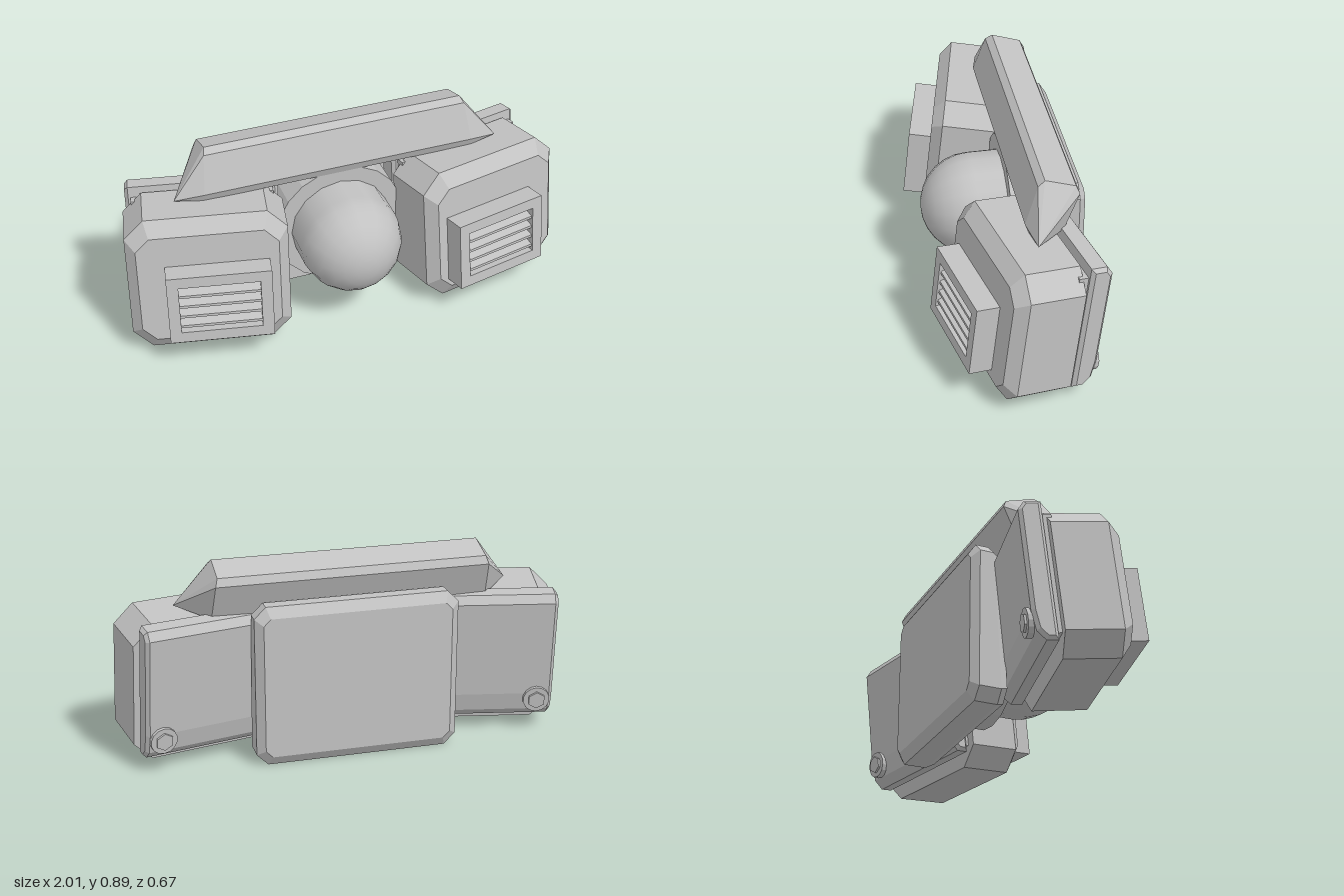
import * as THREE from 'three';
import { ConvexGeometry } from 'three/addons/geometries/ConvexGeometry.js';

const grey = new THREE.MeshStandardMaterial({ color: 0xc2c2c2 });
grey.name = 'light grey';

function add(parent, name, geometry, x = 0, y = 0, z = 0) {
  const mesh = new THREE.Mesh(geometry, grey);
  mesh.name = name;
  mesh.position.set(x, y, z);
  parent.add(mesh);
  return mesh;
}

// Faceted block from chamfered rectangles [halfWidth, halfHeight, chamfer, z, lean]
function block(sections) {
  const pts = [];
  for (const [w, h, c, z, lean = 0] of sections)
    for (const sx of [-1, 1]) for (const sy of [-1, 1])
      for (const [x, y] of [[w - c, h], [w, h - c]])
        pts.push(new THREE.Vector3(sx * x, sy * y, z - lean * sy * y));
  return new ConvexGeometry(pts);
}

// Side profile of [z, y] points swept along x, with an optional bevel
function sweepX(profile, width, bevel = 0) {
  const shape = new THREE.Shape(profile.map(([z, y]) => new THREE.Vector2(z, y)));
  const g = new THREE.ExtrudeGeometry(shape, {
    depth: width - 2 * bevel, bevelEnabled: bevel > 0,
    bevelThickness: bevel, bevelSize: bevel, bevelOffset: -bevel, bevelSegments: 1,
  });
  g.translate(0, 0, -width / 2 + bevel);
  return g.rotateY(-Math.PI / 2);
}

function rectangle(Path, w, h) {
  const p = new Path();
  p.moveTo(-w / 2, -h / 2);
  p.lineTo(w / 2, -h / 2);
  p.lineTo(w / 2, h / 2);
  p.lineTo(-w / 2, h / 2);
  p.closePath();
  return p;
}

function flat(geometry) {
  const g = geometry.toNonIndexed();
  g.computeVertexNormals();
  return g;
}

// One side unit: housing, louvred vent, back plate and bolt
function sideUnit(s) {
  const unit = new THREE.Group();
  unit.name = s > 0 ? 'leftUnit' : 'rightUnit';
  unit.position.set(s * 0.64, 0.35, 0.02);
  unit.rotation.set(-0.113, s * 0.21, 0, 'YXZ');

  add(unit, 'housing', block([
    [0.349, 0.32, 0.085, -0.145],
    [0.349, 0.32, 0.085, 0.095],
    [0.305, 0.255, 0.06, 0.145],
  ]));

  // Vent frame with louvres in its opening
  const vent = new THREE.Group();
  vent.name = 'vent';
  vent.position.set(s * -0.037, -0.05, 0.13);
  unit.add(vent);
  const frame = rectangle(THREE.Shape, 0.45, 0.325);
  frame.holes.push(rectangle(THREE.Path, 0.35, 0.225));
  add(vent, 'ventFrame', new THREE.ExtrudeGeometry(frame, { depth: 0.115, bevelEnabled: false }));
  add(vent, 'ventBack', new THREE.BoxGeometry(0.36, 0.235, 0.02), 0, 0, 0.04);
  for (let i = 0; i < 4; i++)
    add(vent, 'louvre', sweepX([[0, -0.016], [0.06, -0.016], [0.06, -0.004], [0, 0.016]], 0.35),
      0, -0.078 + i * 0.05, 0.047);

  // Back plate on a narrower neck
  add(unit, 'neck', new THREE.BoxGeometry(0.62, 0.52, 0.06), 0, 0.03, -0.155);
  add(unit, 'backPlate', sweepX([
    [-0.165, -0.265], [-0.165, 0.34], [-0.235, 0.34], [-0.262, 0.305],
    [-0.262, -0.14], [-0.25, -0.225], [-0.215, -0.265],
  ], 0.67, 0.015));

  // Bolt near the lower outer corner
  const washer = new THREE.CylinderGeometry(0.06, 0.06, 0.03, 14).rotateX(Math.PI / 2);
  add(unit, 'boltWasher', flat(washer), s * 0.262, -0.165, -0.262);
  const head = new THREE.CylinderGeometry(0.04, 0.04, 0.03, 6).rotateX(Math.PI / 2);
  add(unit, 'boltHead', flat(head), s * 0.262, -0.165, -0.272);
  return unit;
}

export function createModel() {
  const model = new THREE.Group();
  model.name = 'doubleLampUnit';
  model.add(sideUnit(1), sideUnit(-1));

  // Central back box
  add(model, 'backBox', block([
    [0.43, 0.345, 0.05, -0.19, 0.06],
    [0.45, 0.36, 0.05, -0.225, 0.06],
    [0.45, 0.36, 0.05, -0.305],
    [0.415, 0.315, 0.03, -0.335],
  ]), 0, 0.36, 0);

  // Round collar and domed lamp
  const collar = new THREE.CylinderGeometry(0.3, 0.3, 0.16, 20).rotateX(Math.PI / 2);
  add(model, 'collar', flat(collar), 0, 0.38, -0.13);
  const barrel = new THREE.CylinderGeometry(0.23, 0.23, 0.16, 16, 1, true).rotateX(Math.PI / 2);
  add(model, 'lampBarrel', barrel, 0, 0.38, 0);
  const dome = new THREE.SphereGeometry(0.23, 16, 7, 0, Math.PI * 2, 0, Math.PI / 2).rotateX(Math.PI / 2);
  add(model, 'lampDome', dome, 0, 0.38, 0.08);

  // Leaning top bar with slanted ends: [halfWidth, y, z]
  const bar = [
    [0.62, 0.70, -0.035], [0.75, 0.68, -0.065], [0.6, 0.865, -0.09], [0.59, 0.887, -0.12],
    [0.59, 0.845, -0.25], [0.6, 0.81, -0.265], [0.61, 0.65, -0.2], [0.62, 0.66, -0.05],
  ];
  add(model, 'topBar', new ConvexGeometry(bar.flatMap(([x, y, z]) =>
    [new THREE.Vector3(x, y, z), new THREE.Vector3(-x, y, z)])));

  return model;
}
